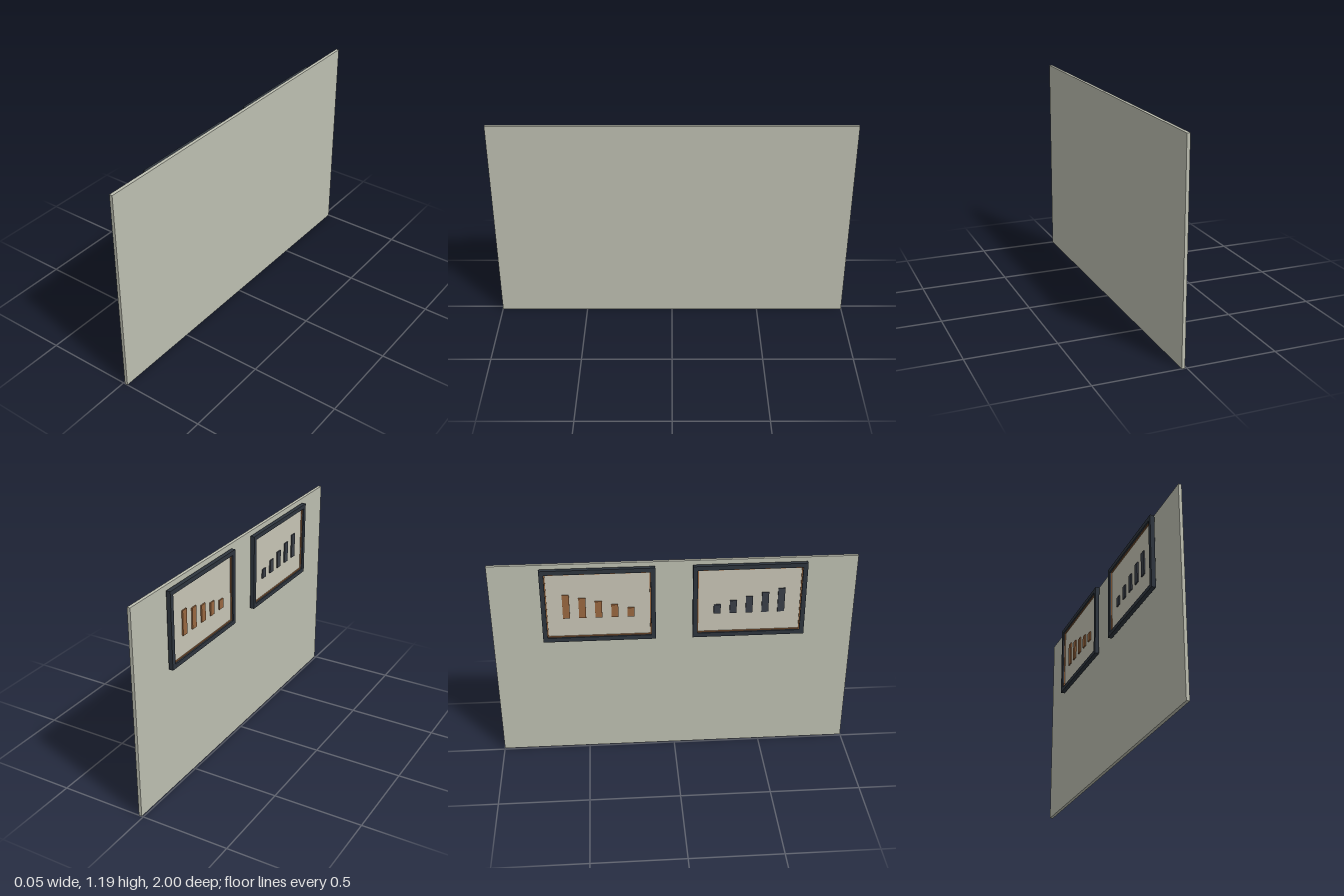
import * as THREE from 'three';

const mat = (name, color) => {
  const m = new THREE.MeshStandardMaterial({ color });
  m.name = name;
  return m;
};

export function createModel() {
  const wallMat = mat('wall grey', 0xbec0b2);
  const frameMat = mat('frame charcoal', 0x2e353e);
  const paperMat = mat('paper', 0xc9c6b7);
  const brownMat = mat('warm brown', 0x9a6840);
  const darkMat = mat('dark ink', 0x3a3f48);

  const root = new THREE.Group();
  root.name = 'wallWithPictures';

  // Box given by its x range, then centre and size in y and z
  function box(parent, name, material, x0, x1, y, z, h, d) {
    const m = new THREE.Mesh(new THREE.BoxGeometry(x1 - x0, h, d), material);
    m.position.set((x0 + x1) / 2, y, z);
    m.name = name;
    parent.add(m);
  }

  // Rectangular ring facing -x, extruded over an x range
  function ring(parent, name, material, x0, x1, h, d, border) {
    const rect = (Type, w, t) => {
      const p = new Type();
      p.moveTo(-w / 2, -t / 2).lineTo(w / 2, -t / 2).lineTo(w / 2, t / 2).lineTo(-w / 2, t / 2).closePath();
      return p;
    };
    const shape = rect(THREE.Shape, d, h);
    shape.holes.push(rect(THREE.Path, d - 2 * border, h - 2 * border));
    const geo = new THREE.ExtrudeGeometry(shape, { depth: x1 - x0, bevelEnabled: false });
    geo.rotateY(Math.PI / 2);
    const m = new THREE.Mesh(geo, material);
    m.position.x = x0;
    m.name = name;
    parent.add(m);
  }

  // Wall panel
  box(root, 'wall', wallMat, 0.009, 0.027, 0.595, 0, 1.19, 2);

  // Framed bar chart; dir sets which way along z the bars grow
  function picture(name, z, dir, barMat) {
    const g = new THREE.Group();
    g.name = name;
    g.position.set(0, 0.9525, z);
    ring(g, 'frame', frameMat, -0.027, -0.003, 0.435, 0.62, 0.025);
    ring(g, 'innerTrim', brownMat, -0.018, -0.005, 0.386, 0.571, 0.006);
    box(g, 'paper', paperMat, -0.012, -0.004, 0, 0, 0.384, 0.569);

    // Chart bars standing on a common base line
    for (let i = 0; i < 5; i++) {
      const h = 0.054 + i * 0.022;
      box(g, 'chartBar', barMat, -0.019, -0.012, -0.076 + h / 2, dir * (i - 2) * 0.088, h, 0.038);
    }
    // Small spacers on the back, near the corners
    for (const sy of [-1, 1]) {
      for (const sz of [-1, 1]) {
        box(g, 'backSpacer', frameMat, -0.004, -0.001, sy * 0.192, sz * 0.26, 0.02, 0.02);
      }
    }
    root.add(g);
  }
  picture('brownChartPicture', -0.413, -1, brownMat);
  picture('darkChartPicture', 0.411, 1, darkMat);

  return root;
}
